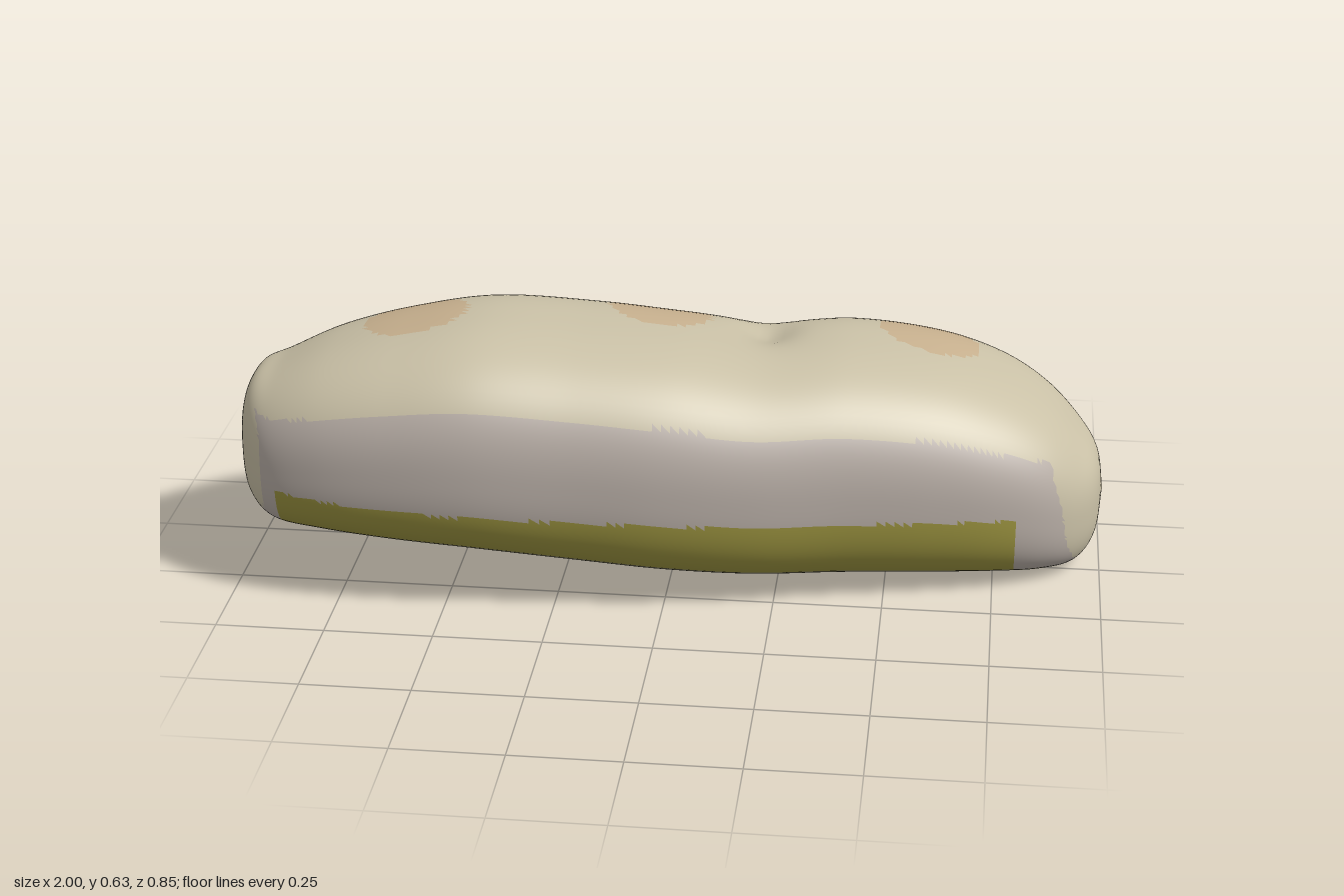
import * as THREE from 'three';
import { mergeVertices } from 'three/addons/utils/BufferGeometryUtils.js';

// Cross-sections along the loaf: x, bottom y, top y, back z, front z
const SECTIONS = [
  [-1.0, 0.32, 0.32, 0.12, 0.12],
  [-0.995, 0.25, 0.40, 0.05, 0.19],
  [-0.965, 0.19, 0.48, -0.02, 0.28],
  [-0.90, 0.155, 0.51, -0.085, 0.355],
  [-0.78, 0.143, 0.56, -0.15, 0.40],
  [-0.62, 0.127, 0.60, -0.20, 0.42],
  [-0.43, 0.108, 0.625, -0.24, 0.42],
  [-0.20, 0.075, 0.605, -0.28, 0.39],
  [0.0, 0.05, 0.58, -0.30, 0.365],
  [0.20, 0.03, 0.545, -0.345, 0.325],
  [0.40, 0.018, 0.54, -0.40, 0.27],
  [0.60, 0.008, 0.505, -0.427, 0.22],
  [0.75, 0.002, 0.45, -0.427, 0.175],
  [0.86, 0.0, 0.385, -0.385, 0.125],
  [0.94, 0.012, 0.31, -0.315, 0.06],
  [0.985, 0.07, 0.25, -0.215, -0.01],
  [1.0, 0.165, 0.165, -0.11, -0.11],
];

const COLORS = {
  topCrust: 0xc9c0a6,
  brownedPatches: 0xc7b08e,
  sideCrust: 0xb8aea6,
  lowerBand: 0x9c9440,
  base: 0x8a8566,
};

// Browned patches on top: x, z, radius
const PATCHES = [[0.58, -0.19, 0.12], [-0.05, -0.1, 0.12], [-0.6, 0.06, 0.12]];

const RINGS = 160, SIDES = 112;

export function createModel() {
  const group = new THREE.Group();
  group.name = 'loaf';

  const curve = (a, b) => new THREE.CatmullRomCurve3(
    SECTIONS.map((s) => new THREE.Vector3(s[0], s[a], s[b])), false, 'catmullrom', 0.5);
  const heights = curve(1, 2), widths = curve(3, 4);

  // Rounded-box sections, squarer underneath than on top
  const pos = [];
  for (let i = 0; i <= RINGS; i++) {
    const h = heights.getPoint(i / RINGS), w = widths.getPoint(i / RINGS);
    const yc = h.y + (h.z - h.y) * 0.45, zc = (w.y + w.z) / 2, hw = (w.z - w.y) / 2;
    for (let j = 0; j < SIDES; j++) {
      const a = (j / SIDES) * Math.PI * 2, c = Math.cos(a), s = Math.sin(a);
      const n = 2.55 - 0.7 * Math.min(0, s);
      const r = Math.pow(Math.abs(c) ** n + Math.abs(s) ** n, -1 / n);
      const z = zc + hw * r * c;
      let y = yc + r * s * (s > 0 ? h.z - yc : yc - h.y);
      // small pinched dent in the top
      if (s > 0) y -= 0.03 * Math.exp(-(((h.x - 0.2) / 0.06) ** 2) - ((z + 0.1) / 0.09) ** 2);
      pos.push(h.x, y, z);
    }
  }
  const index = [];
  for (let i = 0; i < RINGS; i++) {
    for (let j = 0; j < SIDES; j++) {
      const k = (j + 1) % SIDES;
      const a = i * SIDES + j, b = a + SIDES, c = i * SIDES + k, d = c + SIDES;
      index.push(a, b, c, b, d, c);
    }
  }
  let skin = new THREE.BufferGeometry();
  skin.setAttribute('position', new THREE.Float32BufferAttribute(pos, 3));
  skin.setIndex(index);
  skin = mergeVertices(skin, 1e-5);
  skin.computeVertexNormals();

  // Sort the faces of the skin into colour zones that share smooth normals
  const zones = Object.fromEntries(Object.keys(COLORS).map((k) => [k, []]));
  const P = skin.attributes.position, N = skin.attributes.normal, I = skin.index.array;
  for (let f = 0; f < I.length; f += 3) {
    const t = [I[f], I[f + 1], I[f + 2]];
    const mean = (g) => t.reduce((sum, v) => sum + g(v), 0) / 3;
    const x = mean((v) => P.getX(v)), y = mean((v) => P.getY(v)), z = mean((v) => P.getZ(v));
    const ny = mean((v) => N.getY(v)), nx = mean((v) => N.getX(v));
    const low = 0.195 - 0.05 * x; // upper edge of the lower band
    let zone = 'topCrust';
    if (ny < -0.8) zone = 'base';
    else if (Math.abs(nx) < 0.5 && x > -0.88 && x < 0.8 && y < low + 0.04) zone = 'lowerBand';
    else if (ny < 0.5 && Math.abs(nx) < 0.65) zone = 'sideCrust';
    else if (ny > 0.5 && PATCHES.some(([px, pz, r]) => Math.hypot(x - px, z - pz) < r)) zone = 'brownedPatches';
    zones[zone].push(...t);
  }
  for (const [name, faces] of Object.entries(zones)) {
    const geo = new THREE.BufferGeometry();
    geo.setAttribute('position', P);
    geo.setAttribute('normal', N);
    geo.setIndex(faces);
    const mesh = new THREE.Mesh(geo, new THREE.MeshStandardMaterial({ color: COLORS[name] }));
    mesh.name = name;
    group.add(mesh);
  }
  return group;
}
